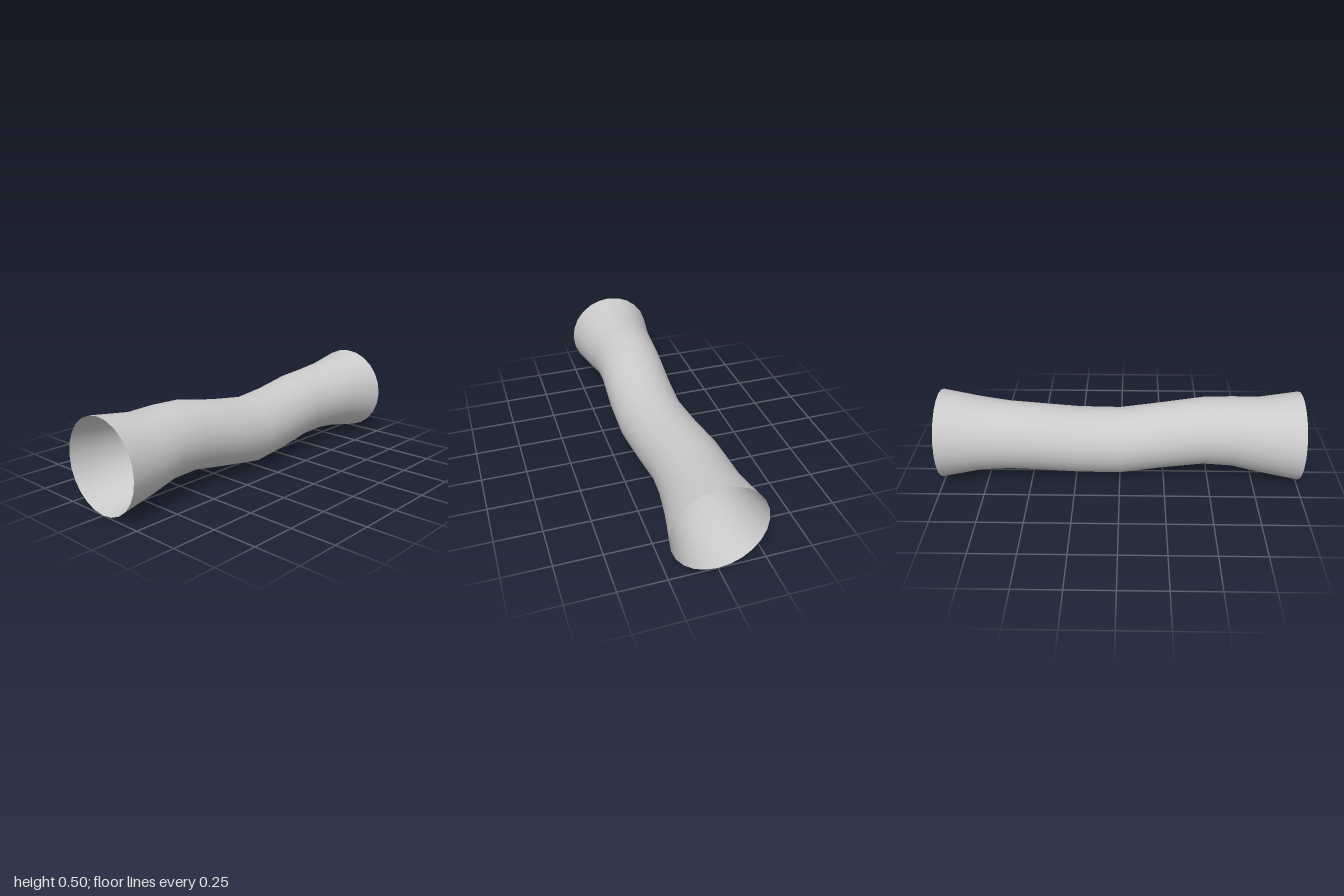
import * as THREE from 'three';
import { mergeVertices } from 'three/addons/utils/BufferGeometryUtils.js';

// Elliptical rings from front to back: z, left edge, right edge, bottom, top
const RINGS = [
  [1.00, -0.248, 0.248, 0.000, 0.497],
  [0.78, -0.210, 0.212, 0.043, 0.466],
  [0.63, -0.195, 0.194, 0.080, 0.470],
  [0.47, -0.183, 0.191, 0.087, 0.465],
  [0.23, -0.171, 0.204, 0.050, 0.420],
  [0.00, -0.168, 0.203, 0.013, 0.387],
  [-0.23, -0.185, 0.186, 0.027, 0.400],
  [-0.47, -0.204, 0.170, 0.053, 0.430],
  [-0.62, -0.207, 0.179, 0.058, 0.440],
  [-0.78, -0.210, 0.203, 0.044, 0.459],
  [-1.00, -0.248, 0.248, 0.000, 0.497],
];
const SIDES = 24;

export function createModel() {
  const group = new THREE.Group();
  group.name = 'wavyPipe';

  // Open unit cylinder along z, each ring fitted to its section
  let geo = new THREE.CylinderGeometry(1, 1, 2, SIDES, RINGS.length - 1, true);
  geo.rotateX(Math.PI / 2);
  const pos = geo.attributes.position;
  for (let i = 0; i < pos.count; i++) {
    const [z, x0, x1, y0, y1] = RINGS[Math.floor(i / (SIDES + 1))];
    pos.setXYZ(
      i,
      (x0 + x1) / 2 + pos.getX(i) * (x1 - x0) / 2,
      (y0 + y1) / 2 + pos.getY(i) * (y1 - y0) / 2,
      z
    );
  }

  // Weld the seam for smooth shading all round
  geo.deleteAttribute('uv');
  geo.deleteAttribute('normal');
  geo = mergeVertices(geo, 1e-4);
  geo.computeVertexNormals();

  const tube = new THREE.Mesh(
    geo,
    new THREE.MeshStandardMaterial({ color: 0xcccccc, side: THREE.DoubleSide })
  );
  tube.name = 'tubeWall';
  group.add(tube);
  return group;
}
